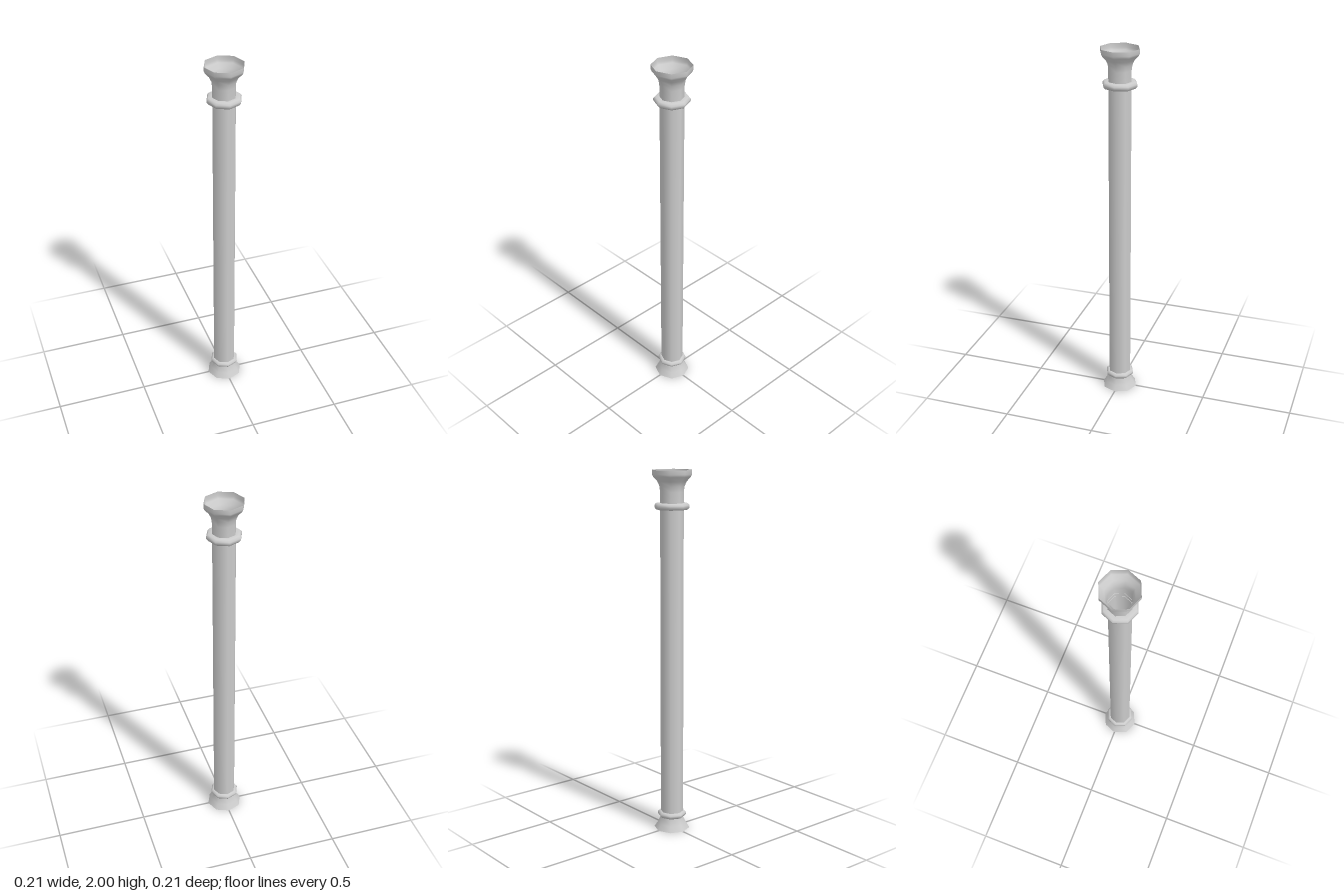
import * as THREE from 'three';

export function createModel() {
  const group = new THREE.Group();
  group.name = 'column';
  const stone = new THREE.MeshStandardMaterial({ color: 0xcccccc, side: THREE.DoubleSide });
  stone.name = 'pale grey stone';

  // Eight-sided turned part from [radius, height] pairs, bottom to top
  function turned(name, profile) {
    const points = profile.map(([r, y]) => new THREE.Vector2(r, y));
    const mesh = new THREE.Mesh(new THREE.LatheGeometry(points, 8), stone);
    mesh.name = name;
    group.add(mesh);
  }

  // Rounded moulding around the shaft
  function ring(name, y, radius, half) {
    turned(name, [
      [0.061, y - half], [radius - 0.009, y - half], [radius, y - half * 0.35],
      [radius, y + half * 0.35], [radius - 0.009, y + half], [0.061, y + half],
    ]);
  }

  // Flared foot, open underneath
  turned('base', [[0.099, 0], [0.08, 0.03], [0.064, 0.062], [0.063, 0.085]]);
  ring('lowerRing', 0.085, 0.08, 0.015);

  // Hollow shaft
  turned('shaft', [[0.063, 0.085], [0.063, 1.81]]);
  ring('upperRing', 1.81, 0.094, 0.017);

  // Hollow flared top with a short upright lip
  turned('capital', [
    [0.063, 1.81], [0.063, 1.885], [0.067, 1.915], [0.078, 1.94],
    [0.1, 1.964], [0.106, 1.977], [0.106, 2],
  ]);

  return group;
}
